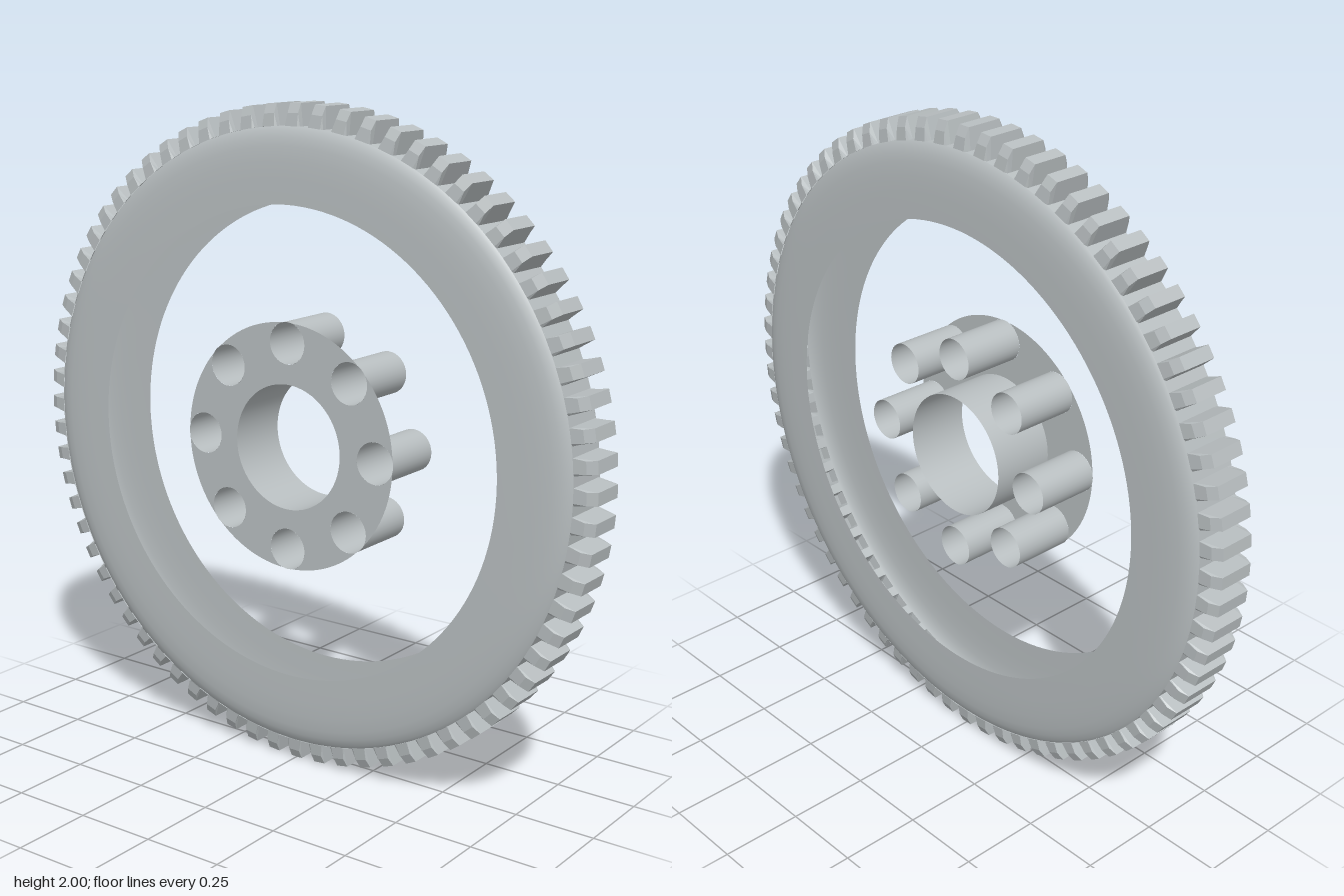
import * as THREE from 'three';

const TEETH = 72, HALF = 0.1;            // tooth count, half thickness along x
const ROOT = 0.935;                      // radius between the teeth
const HUB_R = 0.374, BORE_R = 0.19;      // hub plate and centre bore
const PIN_R = 0.063, PIN_C = 0.313;      // small sleeves and their pitch radius

// Hollow toothed skin: cross-sections (x, r) swept round the x axis
function toothGeometry() {
  const tooth = [[-0.075, ROOT], [-0.07, 0.972], [-0.056, 1], [0.056, 1], [0.07, 0.972], [0.075, ROOT]];
  const root = tooth.map(([x]) => [x, ROOT]);
  const columns = [];
  for (let i = 0; i < TEETH; i++) {
    const mid = (i / TEETH) * Math.PI * 2;
    columns.push([mid - 0.027, root], [mid - 0.019, tooth], [mid + 0.019, tooth], [mid + 0.027, root]);
  }
  const pos = [], index = [], n = tooth.length;
  columns.forEach(([a, section], c) => {
    section.forEach(([x, r]) => pos.push(x, r * Math.cos(a), r * Math.sin(a)));
    const next = ((c + 1) % columns.length) * n;
    for (let k = 0; k < n - 1; k++) {
      const p = c * n + k, q = next + k;
      index.push(p, q + 1, p + 1, p, q, q + 1);
    }
  });
  const g = new THREE.BufferGeometry();
  g.setAttribute('position', new THREE.Float32BufferAttribute(pos, 3));
  g.setIndex(index);
  // make the winding face outward, then split for flat facets
  const v = (i) => new THREE.Vector3().fromArray(pos, index[i] * 3);
  const a = v(12), normal = v(13).sub(a).cross(v(14).sub(a));
  if (normal.dot(new THREE.Vector3(0, a.y, a.z)) < 0) g.setIndex(index.reverse());
  const flat = g.toNonIndexed();
  flat.computeVertexNormals();
  return flat;
}

// Hub plate: disc with a bore and eight round notches that just break its rim
function hubGeometry() {
  const theta = Math.acos((PIN_C ** 2 + HUB_R ** 2 - PIN_R ** 2) / (2 * PIN_C * HUB_R));
  const phi = Math.atan2(HUB_R * Math.sin(theta), HUB_R * Math.cos(theta) - PIN_C);
  const shape = new THREE.Shape();
  for (let i = 0; i < 8; i++) {
    const a = (i * Math.PI) / 4, b = a + Math.PI / 4;
    shape.absarc(0, 0, HUB_R, a + theta, b - theta, false);
    shape.absarc(PIN_C * Math.cos(b), PIN_C * Math.sin(b), PIN_R, b - phi, b + phi, true);
  }
  const bore = new THREE.Path();
  bore.absarc(0, 0, BORE_R, 0, Math.PI * 2, true);
  shape.holes.push(bore);
  return new THREE.ShapeGeometry(shape, 32).rotateY(-Math.PI / 2);
}

export function createModel() {
  const metal = new THREE.MeshStandardMaterial({ color: 0xb8bec0, side: THREE.DoubleSide });
  metal.name = 'light grey metal';

  const wheel = new THREE.Group();
  wheel.name = 'gearWheel';
  wheel.position.y = 1;
  const add = (name, geometry) => {
    const mesh = new THREE.Mesh(geometry, metal);
    mesh.name = name;
    wheel.add(mesh);
    return mesh;
  };

  add('toothedRim', toothGeometry());

  // Domed side plates, open at their inner edge
  const profile = [[ROOT, 0.072], [0.925, 0.081], [0.905, 0.089], [0.88, 0.0945], [0.84, 0.098], [0.79, 0.0995], [0.715, HALF]]
    .map(([r, h]) => new THREE.Vector2(r, h));
  for (const side of [1, -1]) {
    const plate = new THREE.LatheGeometry(profile, 144).rotateZ((-side * Math.PI) / 2);
    add(side > 0 ? 'leftSidePlate' : 'rightSidePlate', plate);
  }

  // Hub plate with open sleeves running across the wheel
  add('hubPlate', hubGeometry()).position.x = -HALF;
  const sleeve = (r, sides) =>
    new THREE.CylinderGeometry(r, r, HALF * 2, sides, 1, true).rotateZ(Math.PI / 2);
  add('boreSleeve', sleeve(BORE_R, 64));
  const pin = sleeve(PIN_R, 32);
  for (let i = 0; i < 8; i++) {
    const a = (i * Math.PI) / 4;
    add('holeSleeve' + (i + 1), pin).position.set(0, PIN_C * Math.sin(a), PIN_C * Math.cos(a));
  }

  const model = new THREE.Group();
  model.name = 'model';
  model.add(wheel);
  return model;
}
